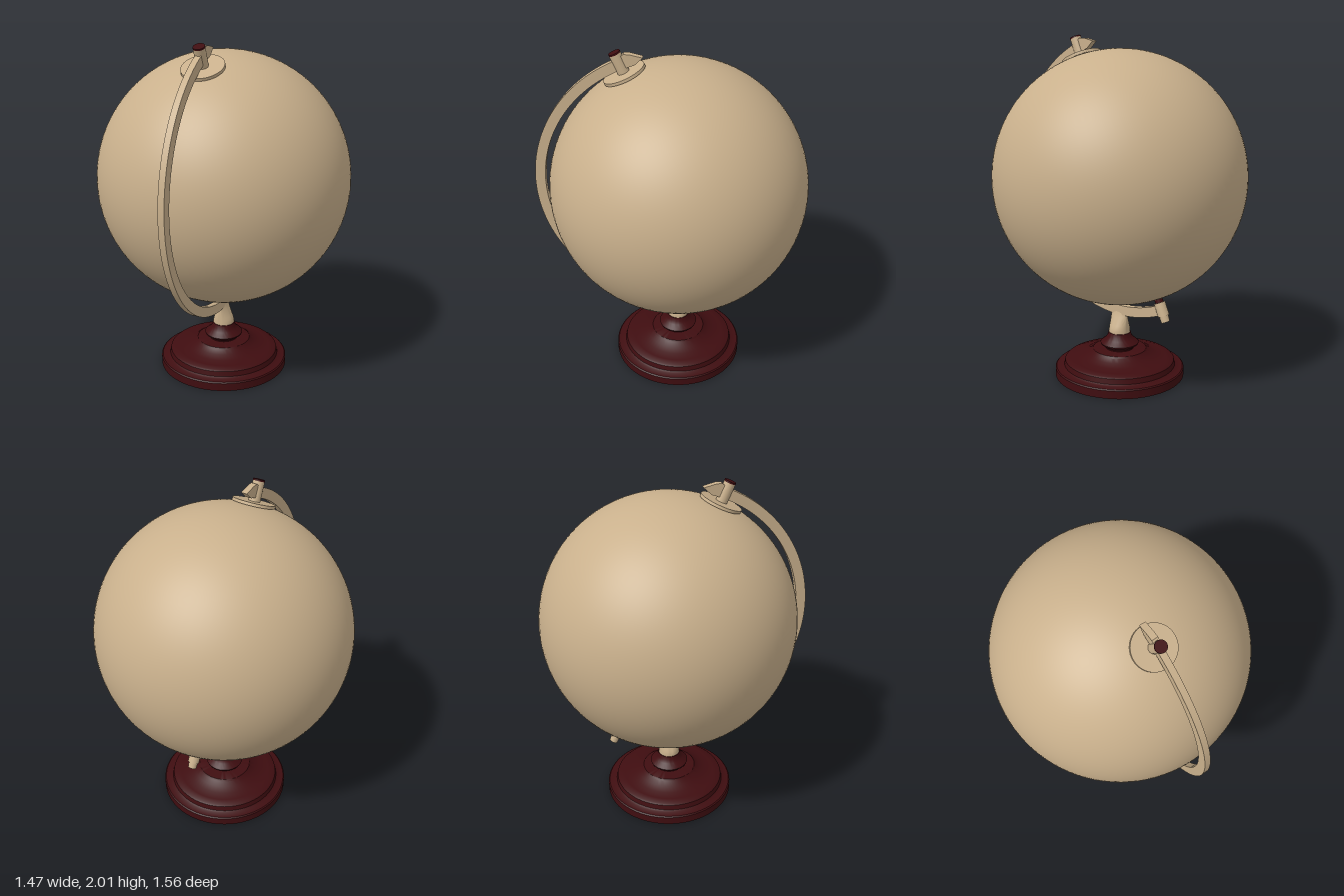
import * as THREE from 'three';
import { toCreasedNormals } from 'three/addons/utils/BufferGeometryUtils.js';

const CENTRE_Y = 1.2, CENTRE_Z = -0.045;
const TILT = THREE.MathUtils.degToRad(23.5);

export function createModel() {
  const tan = new THREE.MeshStandardMaterial({ color: 0xc9b08c });
  tan.name = 'tan';
  const maroon = new THREE.MeshStandardMaterial({ color: 0x3f0d10 });
  maroon.name = 'darkMaroon';

  const model = new THREE.Group();
  model.name = 'deskGlobe';
  const add = (parent, name, geometry, material) => {
    const mesh = new THREE.Mesh(geometry, material);
    mesh.name = name;
    parent.add(mesh);
    return mesh;
  };

  // Turned foot, closed underneath
  const profile = [
    [0, 0], [0.387, 0], [0.387, 0.048], [0.38, 0.054], [0.345, 0.056], [0.334, 0.064],
    [0.328, 0.094], [0.318, 0.102], [0.28, 0.106], [0.235, 0.116], [0.195, 0.132],
    [0.168, 0.15], [0.16, 0.16], [0.085, 0.162], [0.085, 0.168], [0.112, 0.188],
    [0.115, 0.197], [0.106, 0.206], [0.085, 0.222], [0.072, 0.24], [0.067, 0.262], [0, 0.262],
  ].map(([r, y]) => new THREE.Vector2(r, y));
  const foot = toCreasedNormals(new THREE.LatheGeometry(profile, 64), 0.6);
  add(model, 'foot', foot, maroon).position.z = CENTRE_Z;

  // Stem: round at the foot, pinched sideways to the width of the arm
  const stem = new THREE.CylinderGeometry(0.06, 0.064, 0.13, 40, 8);
  const p = stem.attributes.position;
  for (let i = 0; i < p.count; i++) {
    const t = Math.min(1, Math.max(0, (p.getY(i) + 0.04) / 0.1));
    p.setX(i, p.getX(i) * (1 - 0.7 * t));
  }
  stem.computeVertexNormals();
  add(model, 'stem', toCreasedNormals(stem, 0.7), tan).position.set(0, 0.325, CENTRE_Z);

  // Everything else is placed about the globe's centre
  const upper = new THREE.Group();
  upper.name = 'globeAndArm';
  upper.position.set(0, CENTRE_Y, CENTRE_Z);
  model.add(upper);

  add(upper, 'globe', new THREE.SphereGeometry(0.735, 96, 64), tan).rotation.x = TILT;

  // Curved arm with a pointed upper tip
  const deg = THREE.MathUtils.degToRad;
  const at = (r, a) => [r * Math.cos(deg(a)), r * Math.sin(deg(a))];
  const arc = new THREE.Shape();
  arc.moveTo(...at(0.768, -113.5));
  arc.absarc(0, 0, 0.768, deg(-113.5), deg(72), false);
  arc.lineTo(...at(0.797, 76));
  arc.lineTo(...at(0.833, 71.5));
  arc.lineTo(...at(0.843, 69.5));
  arc.lineTo(...at(0.827, 65));
  arc.absarc(0, 0, 0.827, deg(65), deg(-113.5), true);
  arc.closePath();
  const arm = new THREE.ExtrudeGeometry(arc, { depth: 0.036, bevelEnabled: false, curveSegments: 80 });
  arm.translate(0, 0, -0.018).rotateY(-Math.PI / 2);
  add(upper, 'arm', toCreasedNormals(arm, 0.3), tan);

  // Fittings along the tilted axis: [name, top radius, bottom radius, from, to, material]
  const axis = new THREE.Group();
  axis.name = 'axisFittings';
  axis.rotation.x = TILT;
  upper.add(axis);
  [
    ['poleDisc', 0.12, 0.12, 0.73, 0.747, tan],
    ['upperPin', 0.033, 0.033, 0.74, 0.857, tan],
    ['upperPinCap', 0.033, 0.033, 0.857, 0.866, maroon],
    ['lowerNeck', 0.024, 0.024, -0.757, -0.73, maroon],
    ['lowerPinCollar', 0.033, 0.033, -0.835, -0.755, tan],
    ['lowerPinEnd', 0.027, 0.025, -0.872, -0.835, tan],
  ].forEach(([name, rTop, rBottom, from, to, material]) => {
    const geometry = new THREE.CylinderGeometry(rTop, rBottom, to - from, rTop > 0.1 ? 48 : 24);
    add(axis, name, geometry, material).position.y = (from + to) / 2;
  });

  return model;
}
